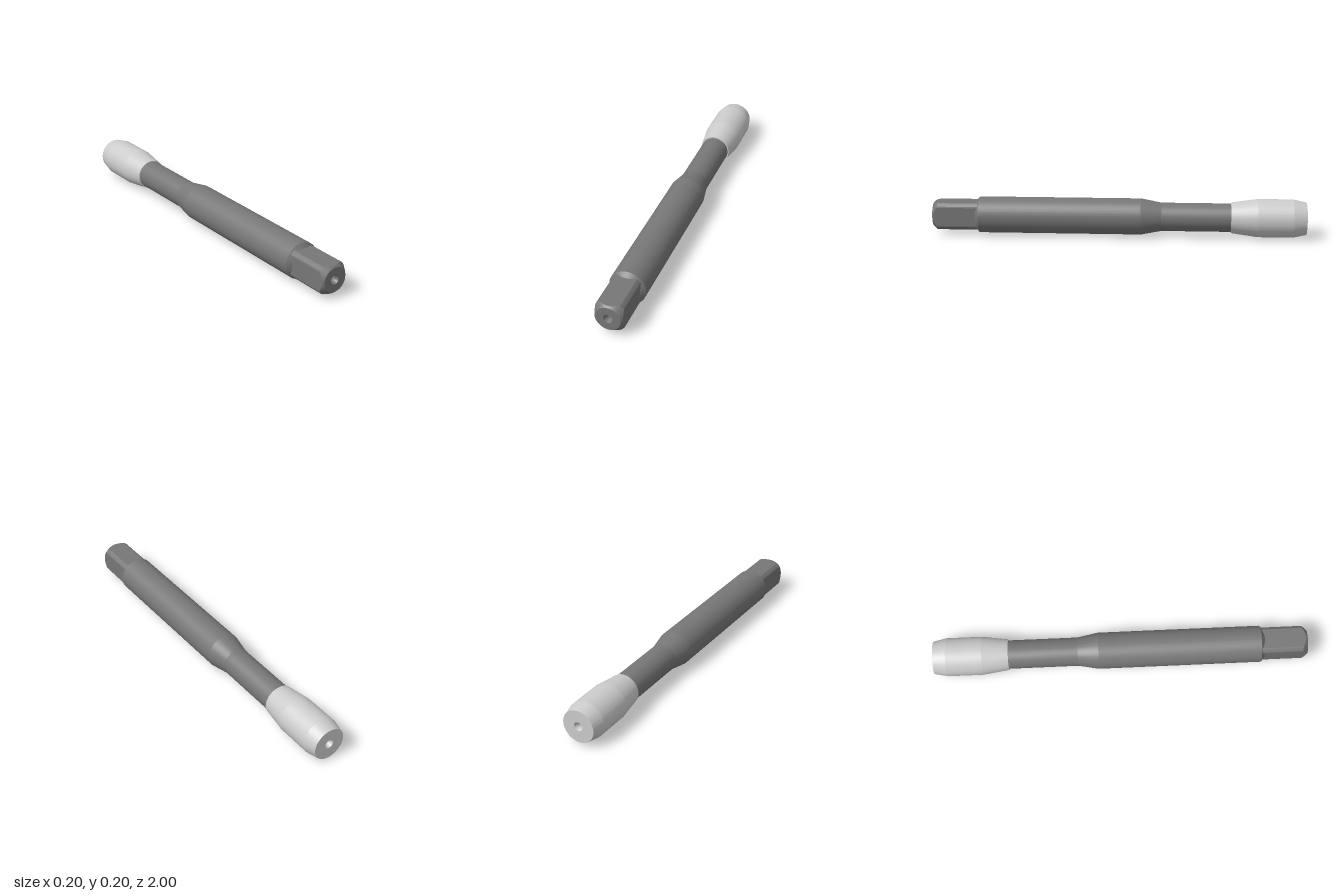
import * as THREE from 'three';
import { toCreasedNormals } from 'three/addons/utils/BufferGeometryUtils.js';

const AXIS_Y = 0.102;  // height of the centre line
const SEGMENTS = 90;   // 4 degree steps, so the square's edges fall on a step
const BORE = 0.017;
const SINK = 0.024;    // mouth of the countersunk bore
const FLAT = 0.073;    // half width across the square's flats
const CORNER = 0.0905; // radius of the square's rounded corners

// Turned part: profile of [radius, z] pairs, optionally reshaped, laid along z
function turned(name, color, profile, reshape) {
  const points = profile.map(([r, z]) => new THREE.Vector2(r, z));
  const geometry = new THREE.LatheGeometry(points, SEGMENTS);
  if (reshape) reshape(geometry.attributes.position, points.length);
  geometry.rotateX(Math.PI / 2);
  const material = new THREE.MeshStandardMaterial({ color });
  const mesh = new THREE.Mesh(toCreasedNormals(geometry, 0.1), material);
  mesh.name = name;
  return mesh;
}

// Cuts four flats, running out into the cones at both ends of the square
function cutSquare(position, rings) {
  for (let i = 0; i < position.count; i++) {
    const ring = i % rings;
    if (ring > 1) continue;
    const angle = (Math.floor(i / rings) / SEGMENTS) * Math.PI * 2;
    const c = Math.cos(angle), s = Math.sin(angle);
    const r = Math.min(CORNER, FLAT / Math.max(Math.abs(c), Math.abs(s)));
    const z = ring === 0 ? 0.75 + (0.097 - r) * 0.85 : 1 - (r - 0.065) * 1.1;
    position.setXYZ(i, r * s, z, r * c);
  }
}

export function createModel() {
  const model = new THREE.Group();
  model.name = 'toolBlank';
  const dark = 0x777777;

  // Light working head with tapered neck end and chamfered tip
  const head = turned('head', 0xcccccc, [
    [BORE, -0.98], [SINK, -1], [0.087, -1], [0.102, -0.93],
    [0.102, -0.74], [0.082, -0.6], [BORE, -0.6], [BORE, -0.98],
  ]);

  // Slim neck widening into the long shank
  const shank = turned('shank', dark, [
    [BORE, -0.6], [0.076, -0.6], [0.076, -0.23], [0.097, -0.12],
    [0.097, 0.75], [0.072, 0.771], [BORE, 0.771], [BORE, -0.6],
  ]);

  // Square drive end; its first two rings are cut to the square
  const square = turned('squareDrive', dark, [
    [CORNER, 0.755], [CORNER, 0.97], [0.065, 1], [SINK, 1],
    [BORE, 0.98], [BORE, 0.771],
  ], cutSquare);

  model.add(head, shank, square);
  for (const part of model.children) part.position.y = AXIS_Y;
  return model;
}
